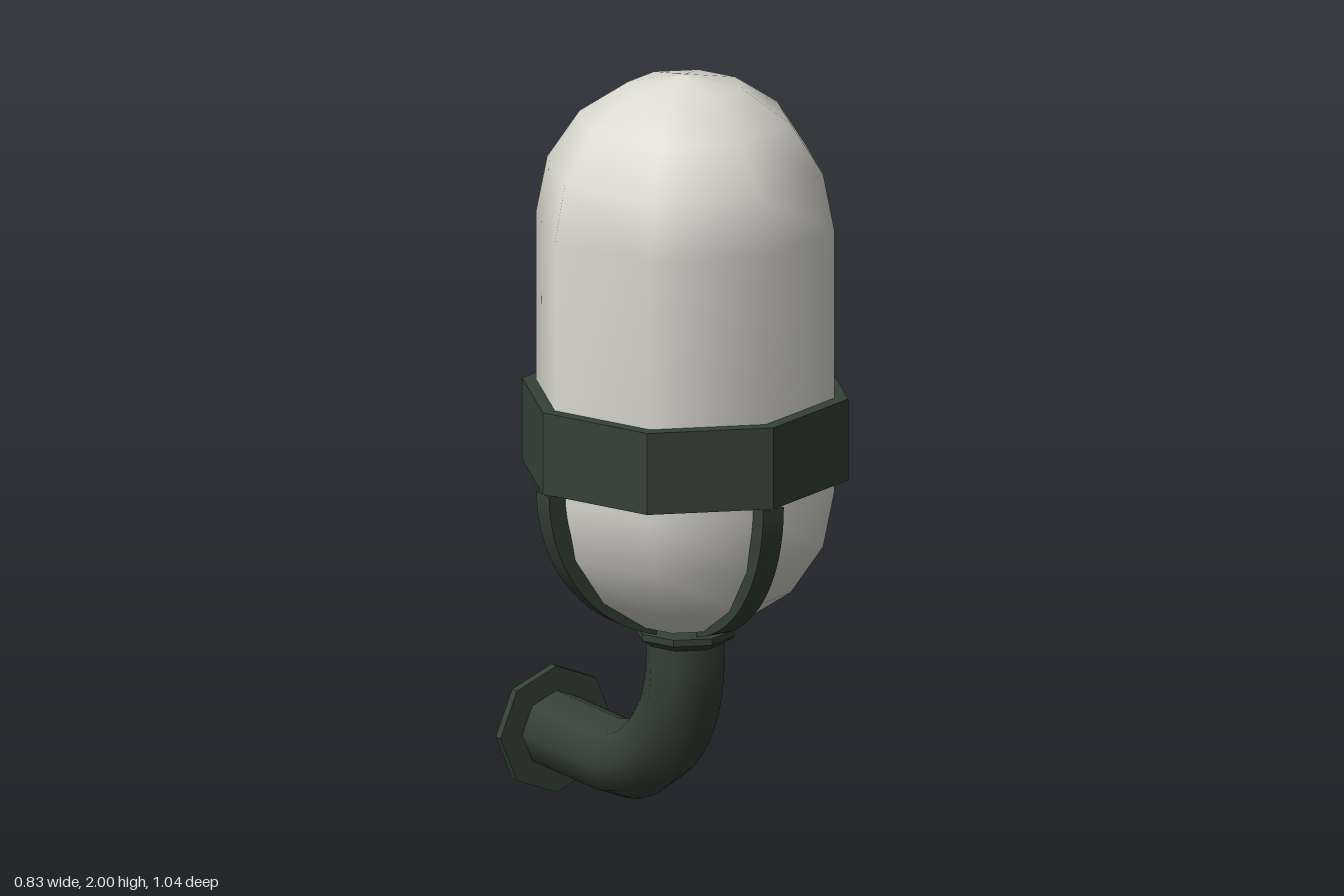
import * as THREE from 'three';
import { toCreasedNormals } from 'three/addons/utils/BufferGeometryUtils.js';

const AXIS_Z = 0.105; // the lamp stands forward of the wall plate
const SIDES = 8;

export function createModel() {
  const model = new THREE.Group();
  model.name = 'wallLamp';
  const green = new THREE.MeshStandardMaterial({ color: 0x344236 });
  green.name = 'dark green metal';
  const glass = new THREE.MeshStandardMaterial({ color: 0xdcdbd0 });
  glass.name = 'frosted glass';

  const add = (parent, name, geometry, material) => {
    const mesh = new THREE.Mesh(geometry, material);
    mesh.name = name;
    parent.add(mesh);
    return mesh;
  };
  const sharp = (geometry) => toCreasedNormals(geometry, 0.6);

  const lamp = new THREE.Group();
  lamp.name = 'lamp';
  lamp.position.z = AXIS_Z;
  model.add(lamp);

  // Capsule-shaped glass globe
  const R = 0.38;
  const profile = [];
  for (const [centre, start] of [[0.95, -Math.PI / 2], [1.62, 0]]) {
    for (let i = 0; i <= 4; i++) {
      const a = start + (i * Math.PI) / 8;
      profile.push(new THREE.Vector2(Math.max(0, R * Math.cos(a)), centre + R * Math.sin(a)));
    }
  }
  add(lamp, 'globe', new THREE.LatheGeometry(profile, SIDES), glass);

  // Octagonal band around the globe
  const band = new THREE.CylinderGeometry(0.415, 0.415, 0.21, SIDES);
  add(lamp, 'band', sharp(band), green).position.y = 1.085;

  // Four curved straps from the band to the collar
  const strapShape = new THREE.Shape();
  const end = -1.32;
  strapShape.absarc(0, 0, 0.415, 0, end, true);
  strapShape.absarc(0, 0, 0.368, end, 0, false);
  const strapGeometry = sharp(new THREE.ExtrudeGeometry(strapShape, {
    depth: 0.06, bevelEnabled: false, curveSegments: 12,
  }).translate(0, 0.98, -0.03));
  for (let i = 0; i < 4; i++) {
    add(lamp, 'strap', strapGeometry, green).rotation.y = (i * Math.PI) / 2;
  }

  // Collar under the globe
  const collar = [[0, 0.54], [0.1, 0.54], [0.125, 0.558], [0.125, 0.575], [0, 0.585]]
    .map(([x, y]) => new THREE.Vector2(x, y));
  add(lamp, 'collar', sharp(new THREE.LatheGeometry(collar, SIDES)), green);

  // Bent pipe: down, around a quarter turn, back to the wall
  const v = (y, z) => new THREE.Vector3(0, y, z);
  const bend = 0.335, pipeY = 0.163, k = bend * 0.5523;
  const topY = pipeY + bend, backZ = AXIS_Z - bend;
  const path = new THREE.CurvePath();
  path.add(new THREE.LineCurve3(v(0.56, AXIS_Z), v(topY, AXIS_Z)));
  path.add(new THREE.CubicBezierCurve3(
    v(topY, AXIS_Z), v(topY - k, AXIS_Z), v(pipeY, backZ + k), v(pipeY, backZ)));
  path.add(new THREE.LineCurve3(v(pipeY, backZ), v(pipeY, -0.51)));
  add(model, 'pipe', new THREE.TubeGeometry(path, 32, 0.1, SIDES), green);

  // Octagonal wall plate
  const plate = new THREE.CylinderGeometry(0.163, 0.163, 0.023, SIDES).rotateX(Math.PI / 2);
  add(model, 'wallPlate', sharp(plate), green).position.set(0, 0.163, -0.511);

  return model;
}
